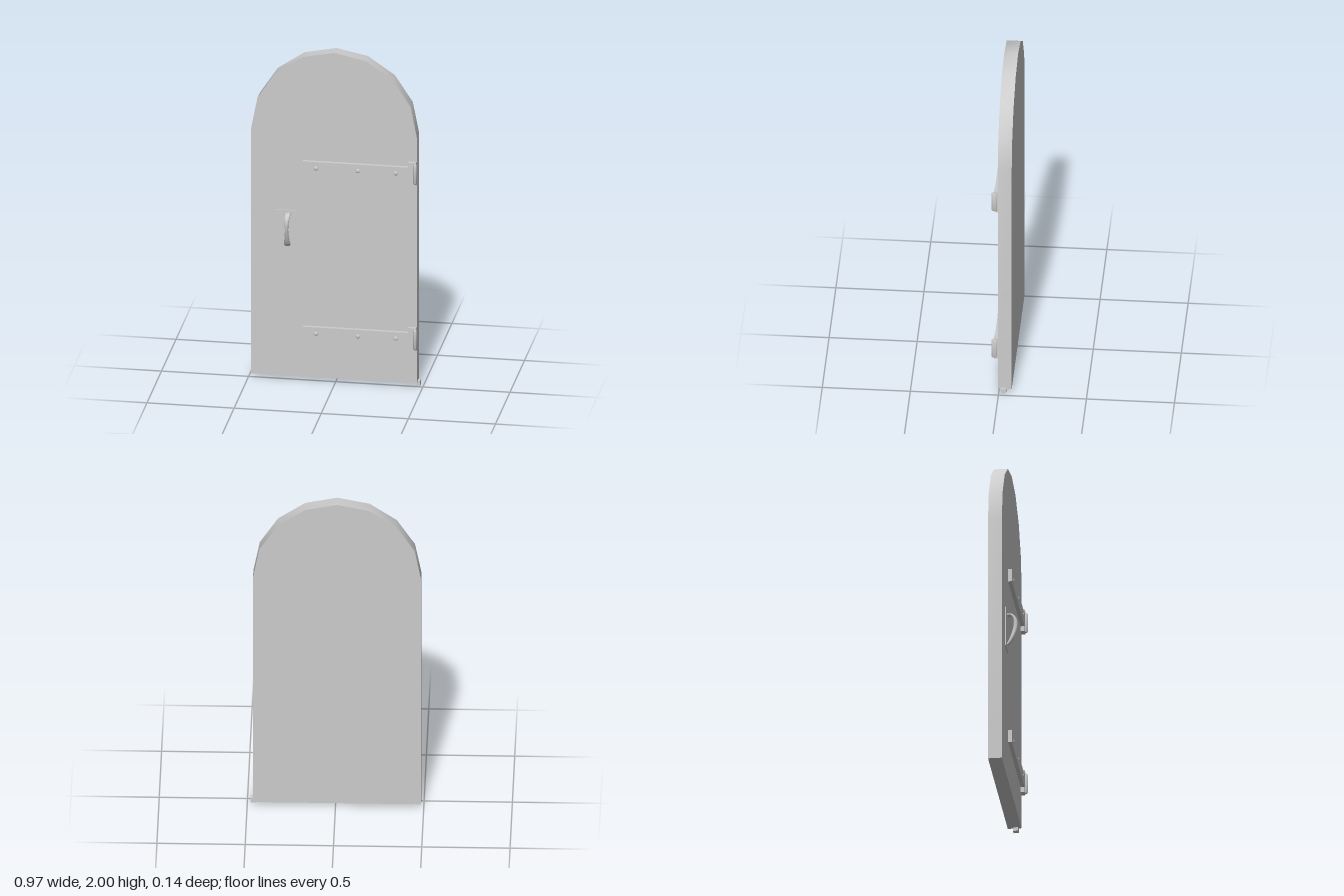
import * as THREE from 'three';
import { toCreasedNormals } from 'three/addons/utils/BufferGeometryUtils.js';

const material = new THREE.MeshStandardMaterial({ color: 0xcccccc });

function add(parent, name, geometry, x = 0, y = 0, z = 0) {
  const mesh = new THREE.Mesh(geometry, material);
  mesh.name = name;
  mesh.position.set(x, y, z);
  parent.add(mesh);
  return mesh;
}

// Arched slab: straight sides and an eight-segment arch
function doorGeometry() {
  const cx = -0.009, halfWidth = 0.476, spring = 1.512, rise = 0.488;
  const shape = new THREE.Shape();
  shape.moveTo(cx - halfWidth, 0.022);
  shape.lineTo(cx + halfWidth, 0.022);
  for (let i = 0; i <= 8; i++) {
    const a = (i / 8) * Math.PI;
    shape.lineTo(cx + halfWidth * Math.cos(a), spring + rise * Math.sin(a));
  }
  shape.closePath();
  const geometry = new THREE.ExtrudeGeometry(shape, { depth: 0.079, bevelEnabled: false });
  geometry.translate(0, 0, -0.073);
  return toCreasedNormals(geometry, 0.5);
}

// Curved pull whose thickness varies along its length
function handleGeometry() {
  const path = new THREE.CatmullRomCurve3([
    [1.008, 0.006], [1.008, 0.034], [0.985, 0.054], [0.94, 0.058],
    [0.88, 0.043], [0.835, 0.023], [0.818, 0.01],
  ].map(([y, z], i) => new THREE.Vector3(-0.27 - i * 0.001, y, z)));
  const segments = 32, sides = 12;
  const geometry = new THREE.TubeGeometry(path, segments, 1, sides, false);
  const pos = geometry.attributes.position;
  const v = new THREE.Vector3();
  for (let i = 0; i <= segments; i++) {
    const t = i / segments;
    const centre = path.getPointAt(t);
    const width = 0.014 + 0.004 * Math.cos(t * Math.PI * 2);
    const depth = 0.008 + 0.004 * Math.sin(t * Math.PI);
    for (let j = 0; j <= sides; j++) {
      const k = i * (sides + 1) + j;
      v.fromBufferAttribute(pos, k).sub(centre);
      v.set(v.x * width, v.y * depth, v.z * depth).add(centre);
      pos.setXYZ(k, v.x, v.y, v.z);
    }
  }
  geometry.computeVertexNormals();
  return geometry;
}

// Strap hinge: long strap, end plate, rounded knuckle and three rivets
function createHinge(y) {
  const hinge = new THREE.Group();
  hinge.name = 'hinge';
  hinge.position.y = y;
  add(hinge, 'strap', new THREE.BoxGeometry(0.607, 0.077, 0.023), 0.117, 0, 0.0165);
  add(hinge, 'hingePlate', new THREE.BoxGeometry(0.046, 0.137, 0.023), 0.443, 0, 0.0165);

  const profile = [[0, -0.061], [0.7, -0.061], [1, -0.053], [1, 0.053], [0.7, 0.061], [0, 0.061]];
  const knuckle = new THREE.LatheGeometry(profile.map(([r, h]) => new THREE.Vector2(r, h)), 16);
  knuckle.scale(0.011, 1, 0.018);
  add(hinge, 'hingeKnuckle', toCreasedNormals(knuckle, 0.6), 0.46, 0, 0.025);

  for (const x of [-0.11, 0.132, 0.349]) {
    const rivet = new THREE.SphereGeometry(0.013, 12, 5, 0, Math.PI * 2, 0, Math.PI / 2);
    rivet.rotateX(Math.PI / 2);
    rivet.scale(1, 1, 0.5);
    add(hinge, 'rivet', rivet, x, 0, 0.0275);
  }
  return hinge;
}

export function createModel() {
  const model = new THREE.Group();
  model.name = 'archedDoor';

  add(model, 'doorPanel', doorGeometry());
  for (const y of [1.3, 0.295]) model.add(createHinge(y));

  // Backplate and pull
  add(model, 'handlePlate', new THREE.BoxGeometry(0.114, 0.24, 0.01), -0.284, 0.911, 0.008);
  add(model, 'handle', handleGeometry());

  // Small pivot block under the hinge side
  add(model, 'pivotBlock', new THREE.BoxGeometry(0.032, 0.03, 0.03), 0.466, 0.015, -0.027);
  return model;
}
